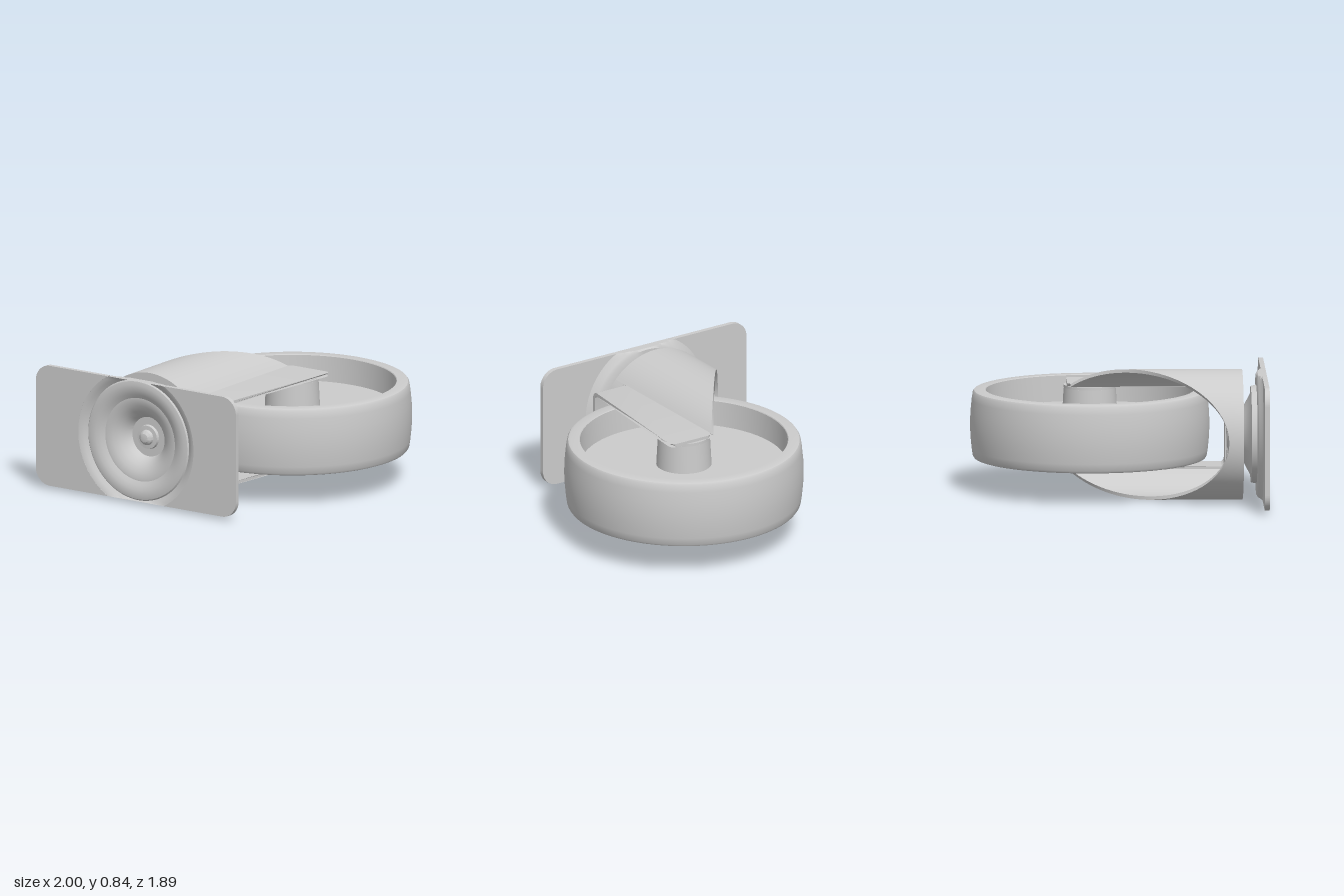
import * as THREE from 'three';
import { toCreasedNormals } from 'three/addons/utils/BufferGeometryUtils.js';

const CX = -0.21, CY = 0.425;          // swivel axis, running along z
const WX = 0.225, WY = 0.438, WZ = -0.177; // wheel centre, axle along y
const R = 0.42;                        // housing radius
const material = new THREE.MeshStandardMaterial({ color: 0xcccccc, side: THREE.DoubleSide });

function part(name, geometry, x = 0, y = 0, z = 0) {
  const mesh = new THREE.Mesh(toCreasedNormals(geometry, 0.5), material);
  mesh.name = name;
  mesh.position.set(x, y, z);
  return mesh;
}

function lathe(points, segments = 80) {
  return new THREE.LatheGeometry(points.map(p => new THREE.Vector2(p[0], p[1])), segments);
}

// Wall of the housing between two angles; back(x) gives its rear edge
function wall(a0, a1, steps, back) {
  const pos = [], idx = [], front = 0.79;
  for (let i = 0; i <= steps; i++) {
    const a = a0 + (a1 - a0) * i / steps, c = Math.cos(a), s = Math.sin(a);
    const z = back(CX + R * c);
    for (const [r, d] of [[R, front], [R, z], [R - 0.022, z], [R - 0.022, front]]) {
      pos.push(CX + r * c, CY + r * s, d);
    }
  }
  for (let i = 0; i < steps; i++) {
    for (let j = 0; j < 4; j++) {
      const a = i * 4 + j, b = i * 4 + (j + 1) % 4;
      idx.push(a, b, a + 4, b, b + 4, a + 4);
    }
  }
  idx.push(0, 2, 1, 0, 3, 2);
  const e = steps * 4;
  idx.push(e, e + 1, e + 2, e, e + 2, e + 3);
  const g = new THREE.BufferGeometry();
  g.setAttribute('position', new THREE.Float32BufferAttribute(pos, 3));
  g.setIndex(idx);
  return g;
}

// One end of the mounting plate, notched around the pressed centre
function plateEnd() {
  const w = 0.79, h = 0.398, c = 0.11, r = 0.455, a = Math.asin(h / r);
  const s = new THREE.Shape();
  s.moveTo(r * Math.cos(a), -h);
  s.lineTo(w - c, -h);
  s.absarc(w - c, -h + c, c, -Math.PI / 2, 0, false);
  s.absarc(w - c, h - c, c, 0, Math.PI / 2, false);
  s.lineTo(r * Math.cos(a), h);
  s.absarc(0, 0, r, a, -a, true);
  return new THREE.ExtrudeGeometry(s, { depth: 0.031, bevelEnabled: false, curveSegments: 24 });
}

// Bent-sheet fork: U outline in (z, y), extruded along x, tapering in width with rounded tips
function forkGeometry() {
  const h = 0.281, t = 0.022, zb = 0.71, ze = -0.325, r = 0.05, tip = 0.04;
  const tipSteps = [0, 0.003, 0.012, 0.025, 0.04];
  const s = new THREE.Shape();
  s.moveTo(ze, -h);
  for (const d of tipSteps.slice(1)) s.lineTo(ze + d, -h);
  s.lineTo(zb - r, -h);
  s.absarc(zb - r, -h + r, r, -Math.PI / 2, 0, false);
  s.absarc(zb - r, h - r, r, 0, Math.PI / 2, false);
  for (const d of [...tipSteps].reverse()) s.lineTo(ze + d, h);
  for (const d of tipSteps) s.lineTo(ze + d, h - t);
  s.lineTo(zb - r, h - t);
  s.absarc(zb - r, h - r, r - t, Math.PI / 2, 0, true);
  s.absarc(zb - r, -h + r, r - t, 0, -Math.PI / 2, true);
  for (const d of [...tipSteps].reverse()) s.lineTo(ze + d, -h + t);
  s.closePath();
  const g = new THREE.ExtrudeGeometry(s, { depth: 1, bevelEnabled: false, curveSegments: 8 });
  g.rotateY(-Math.PI / 2);             // shape x -> z, depth -> -x
  const p = g.attributes.position;
  for (let i = 0; i < p.count; i++) {
    const z = p.getZ(i), k = Math.max(0, tip - (z - ze));
    const inset = tip - Math.sqrt(Math.max(0, tip * tip - k * k));
    const left = 0.1 + inset, right = 0.33 + (0.7 - z) * 0.09 - inset;
    p.setX(i, left + (p.getX(i) + 1) * (right - left));
  }
  return g;
}

export function createModel() {
  const model = new THREE.Group();
  model.name = 'caster';

  // Mounting plate: two flat ends and a pressed round centre trimmed to the plate height
  for (const turn of [0, Math.PI]) {
    model.add(part('mountingPlateEnd', plateEnd().rotateZ(turn), CX, CY, 0.914));
  }
  const pressed = lathe([
    [0, 0.77], [0.17, 0.77], [0.17, 0.79], [0.185, 0.80], [0.27, 0.845], [0.31, 0.845],
    [0.318, 0.88], [0.39, 0.88], [0.41, 0.89], [0.43, 0.902], [0.458, 0.914],
    [0.458, 0.945], [0.44, 0.941], [0.42, 0.93], [0.398, 0.914],
    [0.39, 0.922], [0.365, 0.927], [0.33, 0.923], [0.3, 0.912], [0.275, 0.898],
    [0.26, 0.898], [0.22, 0.888], [0.18, 0.865], [0.145, 0.83], [0.13, 0.80], [0.08, 0.80],
    [0.076, 0.82], [0.05, 0.822], [0.046, 0.84], [0.028, 0.855], [0, 0.86]
  ]).rotateX(Math.PI / 2);
  const pp = pressed.attributes.position;
  for (let i = 0; i < pp.count; i++) pp.setY(i, THREE.MathUtils.clamp(pp.getY(i), -0.398, 0.398));
  model.add(part('pressedCentre', pressed, CX, CY));

  // Swivel housing: long wall cut on a slant, short wall on the fork side
  const split = Math.acos((0.1 - CX) / R);
  model.add(part('housingWall', wall(split, 2 * Math.PI - split, 72, x => 0.695 - 1.37 * (x + 0.63))));
  model.add(part('housingShortWall', wall(-split, split, 20, () => 0.7)));

  // Housing floor with a recessed bearing seat
  model.add(part('housingFloor', lathe([
    [0, 0.765], [0.14, 0.765], [0.26, 0.71], [0.28, 0.695], [0.41, 0.695], [0.41, 0.79], [0, 0.79]
  ]).rotateX(Math.PI / 2), CX, CY));
  for (let i = 0; i < 32; i++) {
    const rib = new THREE.BoxGeometry(0.13, 0.018, 0.02);
    rib.rotateY(0.43).translate(0.2, 0, 0.735).rotateZ(i * Math.PI / 16);
    model.add(part('bearingRib', rib, CX, CY));
  }
  model.add(part('kingpinNut', lathe([
    [0.05, 0.72], [0.055, 0.70], [0.08, 0.69], [0.1, 0.70], [0.105, 0.77]
  ], 40).rotateX(Math.PI / 2), CX, CY));
  model.add(part('kingpinEnd', new THREE.CylinderGeometry(0.055, 0.055, 0.05, 32).rotateX(Math.PI / 2), CX, CY, 0.735));

  // Fork
  model.add(part('fork', forkGeometry(), 0, 0.43));

  // Wheel: crowned tread, rims, thin web and hub, mirrored top to bottom
  const half = [
    [0.77, 0], [0.767, 0.08], [0.759, 0.16], [0.752, 0.205], [0.744, 0.217], [0.73, 0.222],
    [0.672, 0.222], [0.668, 0.217], [0.662, 0.05], [0.178, 0.05], [0.168, 0.235], [0, 0.235]
  ];
  const lower = half.slice(1).reverse().map(([r, y]) => [r, -y]);
  model.add(part('wheel', lathe([...lower, ...half], 96), WX, WY, WZ));

  // Axle washers between hub and fork arms
  for (const y of [0.675, 0.19]) {
    model.add(part('axleWasher', new THREE.CylinderGeometry(0.168, 0.168, 0.034, 48), WX, y, WZ));
  }
  return model;
}
